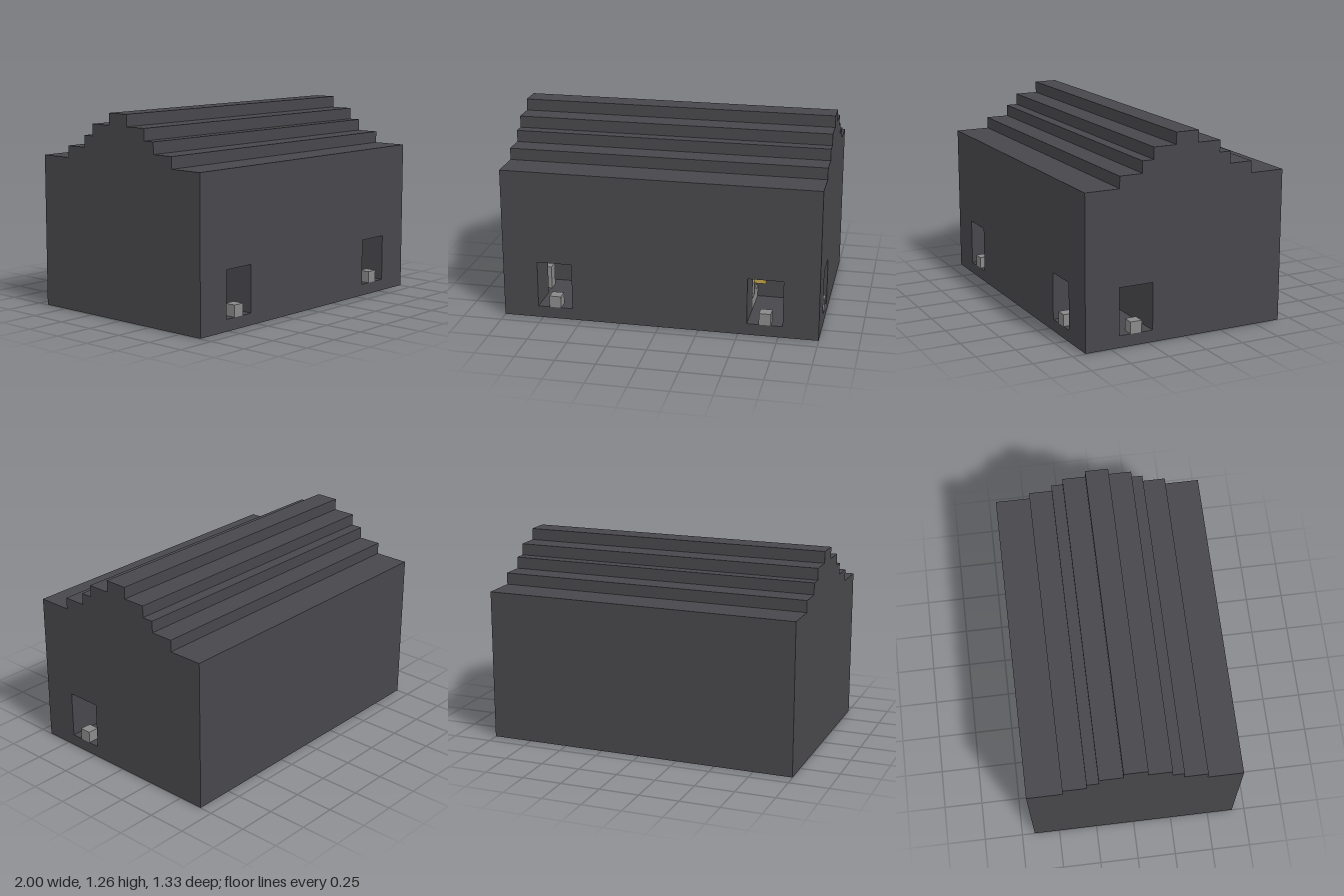
import * as THREE from 'three';

const U = 2 / 27; // one block

export function createModel() {
  const group = new THREE.Group();
  const dark = new THREE.MeshStandardMaterial({ color: 0x48484c, name: 'dark stone' });
  const gray = new THREE.MeshStandardMaterial({ color: 0x8a8a8a, name: 'light stone' });
  const gold = new THREE.MeshStandardMaterial({ color: 0xc4a347, name: 'lamp gold' });

  const add = (name, geometry, material) => {
    geometry.scale(U, U, U);
    const mesh = new THREE.Mesh(geometry, material);
    mesh.name = name;
    group.add(mesh);
  };
  // Box given by its lower and upper corners, in blocks
  const box = (name, material, [x0, y0, z0], [x1, y1, z1]) => {
    const g = new THREE.BoxGeometry(x1 - x0, y1 - y0, z1 - z0);
    g.translate((x0 + x1) / 2, (y0 + y1) / 2, (z0 + z1) / 2);
    add(name, g, material);
  };
  // Plan outline in (x, z), raised from y0 by a height
  const slab = (name, material, plan, y0, height) => {
    const shape = new THREE.Shape(plan.map(([x, z]) => new THREE.Vector2(x, -z)));
    const g = new THREE.ExtrudeGeometry(shape, { depth: height, bevelEnabled: false });
    g.rotateX(-Math.PI / 2);
    g.translate(0, y0, 0);
    add(name, g, material);
  };

  box('floor', dark, [-13.5, 0, -9], [13.5, 1, 9]);

  // Walls at doorway height, with the two rooms cut into the plan
  slab('walls', dark, [
    [-13.5, -9], [13.5, -9], [13.5, 3], [6.5, 3], [6.5, 6], [7.5, 6], [7.5, 9],
    [-7.5, 9], [-7.5, 3], [-11.5, 3], [-11.5, 6], [-10.5, 6], [-10.5, 9], [-13.5, 9],
  ], 1, 4);
  box('cornerWall', dark, [10.5, 1, 6], [13.5, 5, 9]);

  // Upper walls and stepped roof, extruded along x
  const steps = [[9, 13], [6, 14], [4, 15], [3, 16], [1, 17]];
  const half = [];
  let y = 5;
  for (const [z, top] of steps) {
    half.push([z, y], [z, top]);
    y = top;
  }
  const profile = [...half, ...half.map(([z, h]) => [-z, h]).reverse()];
  const roof = new THREE.ExtrudeGeometry(
    new THREE.Shape(profile.map(([z, h]) => new THREE.Vector2(z, h))),
    { depth: 27, bevelEnabled: false });
  roof.rotateY(-Math.PI / 2);
  roof.translate(13.5, 0, 0);
  add('steppedRoof', roof, dark);

  // Stone blocks standing in the doorways
  for (const x of [-9, 9]) box('frontDoorBlock', gray, [x - 0.5, 1, 8], [x + 0.5, 2, 9]);
  box('sideDoorBlock', gray, [12.5, 1, 4], [13.5, 2, 5]);

  // Stone stands and lamps inside the rooms
  box('rightStandBase', gray, [6.5, 1, 3], [7.5, 2, 6]);
  box('rightStandPost', gray, [6.5, 2, 4], [7.5, 3, 5]);
  box('leftStand', gray, [-11.5, 1, 4], [-10.5, 3, 5]);
  box('leftBlock', gray, [-8.5, 1, 4], [-7.5, 2, 5]);
  for (const x of [-8, 8]) box('lamp', gold, [x - 0.5, 3, 4], [x + 0.5, 4, 5]);

  // Angled stone inlay under the floor
  slab('floorInlay', gray,
    [[2.5, 4], [4.5, 4], [4.5, 6], [3.5, 6], [3.5, 5], [2.5, 5]], -0.03, 0.06);

  return group;
}
